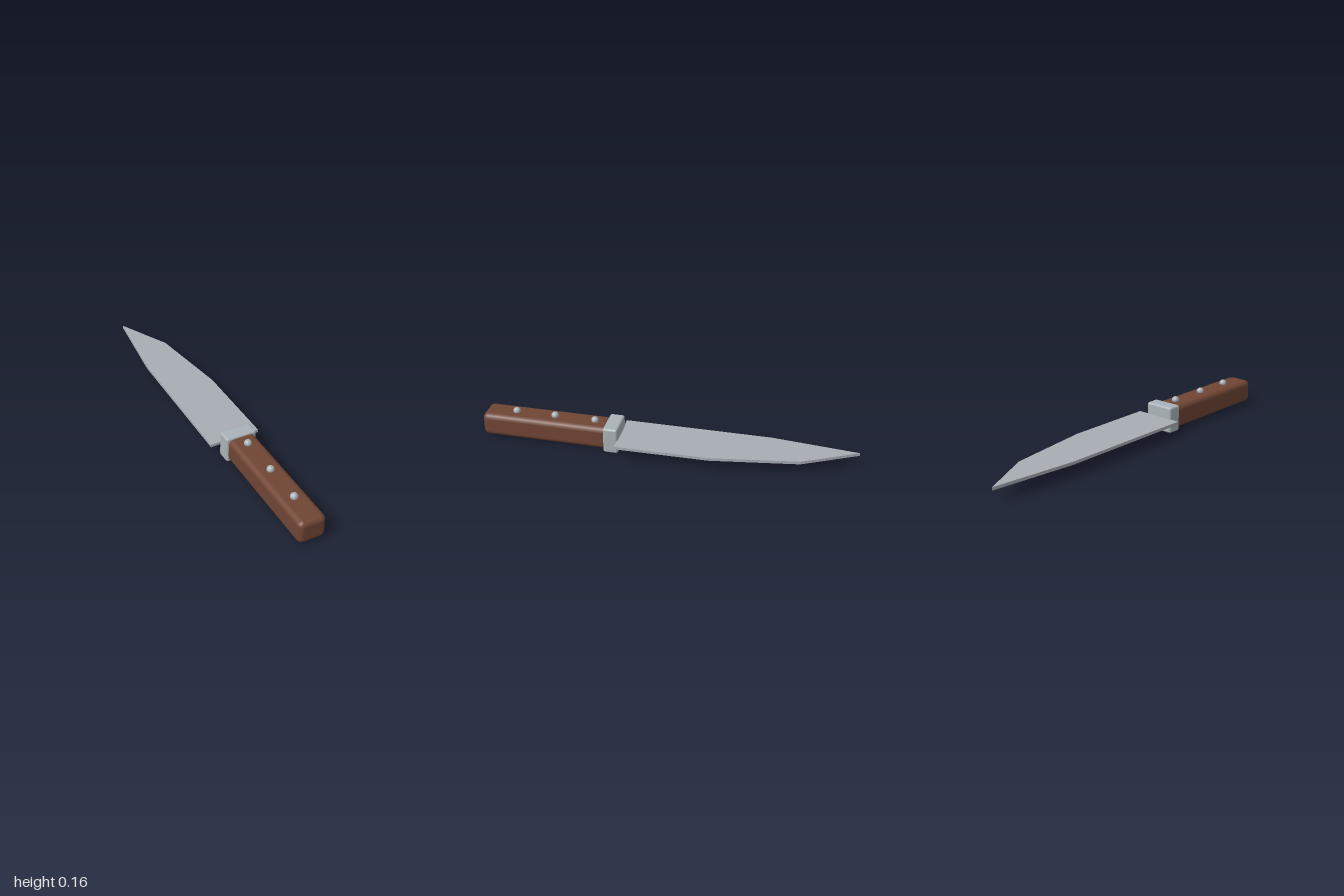
import * as THREE from 'three';
import { RoundedBoxGeometry } from 'three/addons/geometries/RoundedBoxGeometry.js';

const material = (name, color) => {
  const m = new THREE.MeshStandardMaterial({ color });
  m.name = name;
  return m;
};

export function createModel() {
  const group = new THREE.Group();
  group.name = 'knife';
  const blade = material('blade steel', 0xa8adb5);
  const metal = material('fitting metal', 0xa9b3b8);
  const wood = material('brown wood', 0x704534);

  const add = (name, geometry, mat, x, y, z) => {
    const mesh = new THREE.Mesh(geometry, mat);
    mesh.name = name;
    mesh.position.set(x, y, z);
    group.add(mesh);
    return mesh;
  };

  // Flat blade: outline as [x, z], extruded upward
  const outline = [
    [-0.137, 0.25], [0.133, 0.25], [0.128, -0.25],
    [0.057, -0.71], [-0.09, -1], [-0.137, -0.54],
  ];
  const shape = new THREE.Shape(outline.map(([x, z]) => new THREE.Vector2(x, -z)));
  const bladeGeometry = new THREE.ExtrudeGeometry(shape, { depth: 0.016, bevelEnabled: false });
  bladeGeometry.rotateX(-Math.PI / 2);
  add('blade', bladeGeometry, blade, 0, 0.065, 0);

  // Guard block and wooden handle
  add('guard', new RoundedBoxGeometry(0.167, 0.145, 0.08, 2, 0.012), metal, -0.0035, 0.0735, 0.285);
  add('handle', new RoundedBoxGeometry(0.145, 0.127, 0.7, 2, 0.028), wood, -0.0045, 0.0735, 0.65);

  // Rivets along the top of the handle
  for (const z of [0.388, 0.61, 0.825]) {
    add('rivet', new THREE.SphereGeometry(0.02, 16, 12), metal, -0.004, 0.143, z);
  }
  return group;
}
